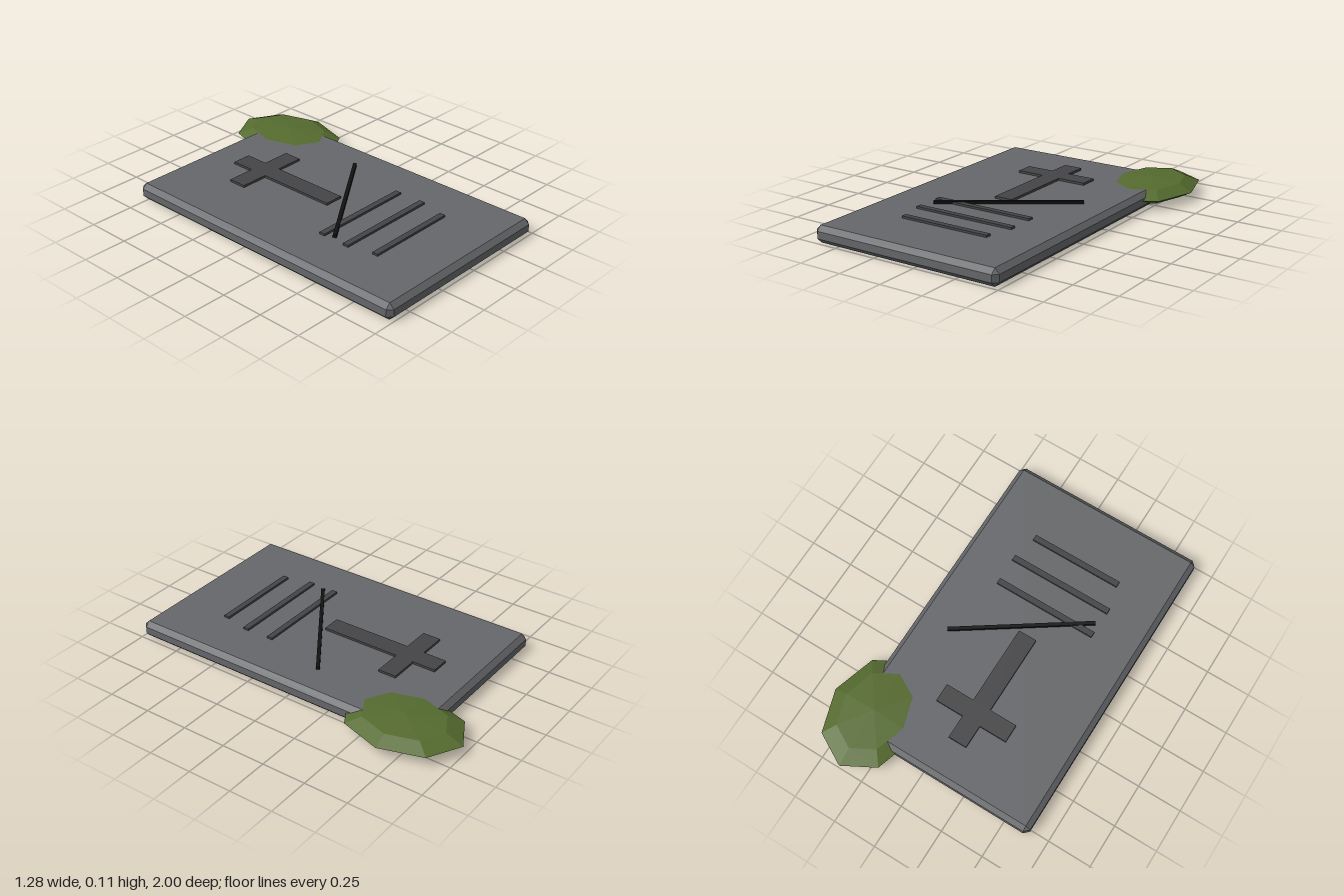
import * as THREE from 'three';
import { ConvexGeometry } from 'three/addons/geometries/ConvexGeometry.js';

const TOP = 0.095;
const material = (color) => new THREE.MeshStandardMaterial({ color, flatShading: true });

// Box with every edge and corner cut by one flat chamfer
function chamferedBox(w, h, d, c) {
  const points = [];
  for (const sx of [-1, 1]) for (const sy of [-1, 1]) for (const sz of [-1, 1]) {
    for (let axis = 0; axis < 3; axis++) {
      const cut = [c, c, c];
      cut[axis] = 0;
      points.push(new THREE.Vector3(
        sx * (w / 2 - cut[0]), sy * (h / 2 - cut[1]), sz * (d / 2 - cut[2])));
    }
  }
  return new ConvexGeometry(points);
}

export function createModel() {
  const group = new THREE.Group();
  const stone = material(0x66676a);
  const carved = material(0x454547);
  const black = material(0x111111);
  const green = material(0x556b2f);

  const add = (name, geometry, mat, x, y, z, parent = group) => {
    const mesh = new THREE.Mesh(geometry, mat);
    mesh.name = name;
    mesh.position.set(x, y, z);
    parent.add(mesh);
    return mesh;
  };

  // Stone slab
  add('slab', chamferedBox(1.135, TOP, 1.79, 0.027), stone, -0.0775, TOP / 2, 0.105);

  // Raised cross, as one outline
  const cross = new THREE.Shape([
    [-0.135, 0.575], [-0.135, 0.44], [-0.295, 0.44], [-0.295, 0.335],
    [-0.135, 0.335], [-0.135, -0.128], [-0.027, -0.128], [-0.027, 0.335],
    [0.138, 0.335], [0.138, 0.44], [-0.027, 0.44], [-0.027, 0.575],
  ].map(([x, y]) => new THREE.Vector2(x, y)));
  const crossGeometry = new THREE.ExtrudeGeometry(cross, { depth: 0.023, bevelEnabled: false });
  crossGeometry.rotateX(-Math.PI / 2);
  add('cross', crossGeometry, carved, 0, 0.085, 0);

  // Inscription bars: centre x, z, length
  const bars = new THREE.Group();
  bars.name = 'inscriptionBars';
  group.add(bars);
  for (const [x, z, length] of [[-0.077, 0.318, 0.6], [-0.077, 0.48, 0.605], [-0.077, 0.644, 0.535]]) {
    add('inscriptionBar', new THREE.BoxGeometry(length, 0.02, 0.034), carved, x, 0.097, z, bars);
  }

  // Diagonal crack
  const crack = add('crack', new THREE.BoxGeometry(0.8, 0.022, 0.02), black, -0.024, 0.1, 0.158);
  crack.rotation.y = Math.atan2(0.455, 0.665);

  // Moss clump on the back corner
  const moss = add('moss', new THREE.SphereGeometry(1, 8, 4), green, 0.385, 0.056, -0.66);
  moss.scale.set(0.255, 0.056, 0.34);

  return group;
}
